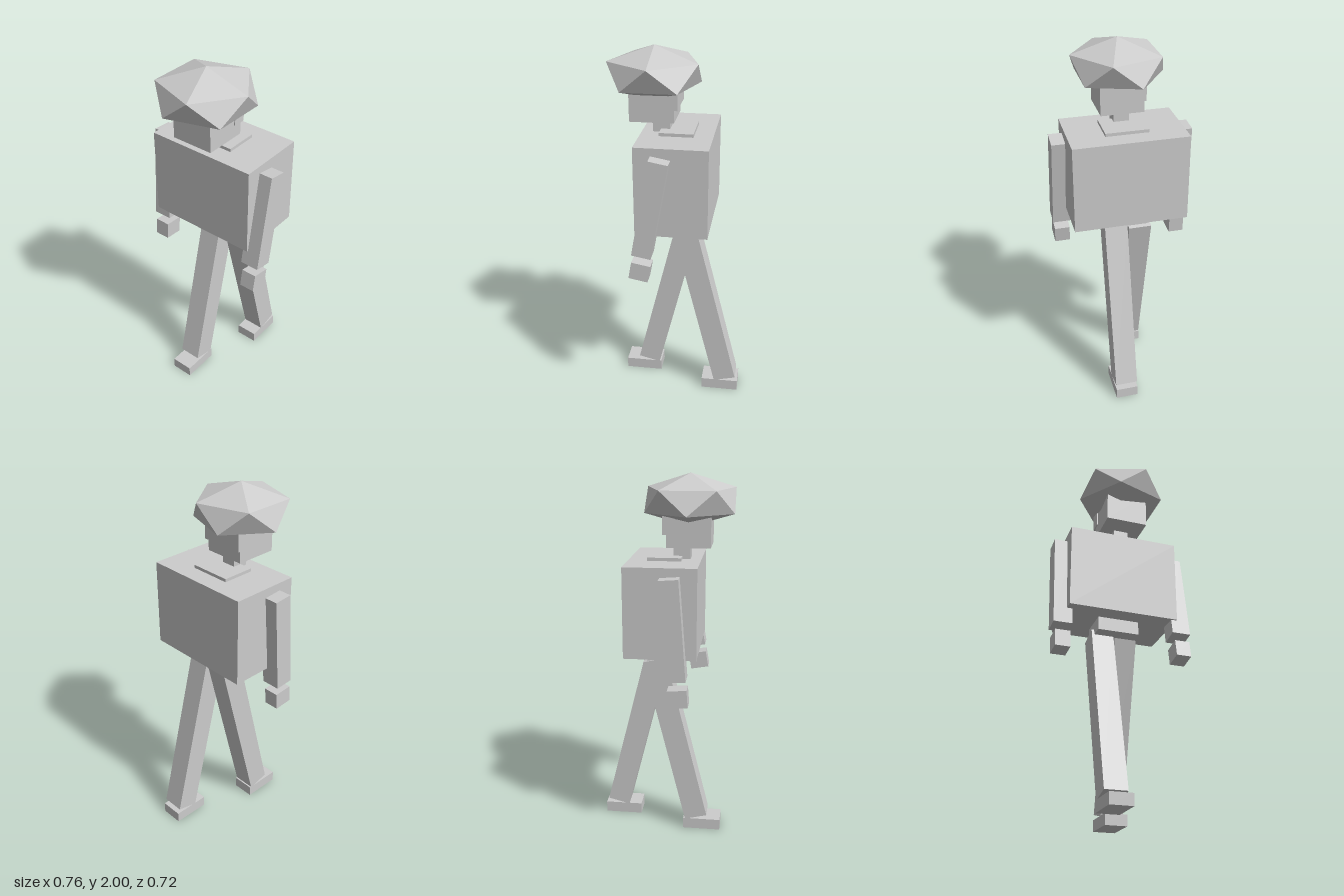
import * as THREE from 'three';
import { ConvexGeometry } from 'three/addons/geometries/ConvexGeometry.js';

export function createModel() {
  const model = new THREE.Group();
  model.name = 'walkingFigure';
  const grey = new THREE.MeshStandardMaterial({ color: 0xcccccc });
  grey.name = 'light grey';

  // Box by size and centre, tilted about x
  function box(name, size, centre, tilt = 0) {
    const mesh = new THREE.Mesh(new THREE.BoxGeometry(...size), grey);
    mesh.name = name;
    mesh.position.set(...centre);
    mesh.rotation.x = tilt;
    model.add(mesh);
  }

  // Body core shows as collar above and pelvis below the coat
  box('bodyCore', [0.232, 0.572, 0.18], [0, 1.288, 0]);
  box('coat', [0.616, 0.48, 0.382], [0, 1.317, 0]);
  box('neck', [0.082, 0.12, 0.09], [0, 1.6, 0.087]);
  box('head', [0.232, 0.2, 0.233], [0, 1.727, 0.127]);
  box('hair', [0.244, 0.14, 0.068], [0, 1.765, 0.026]);

  // Cap: squashed twenty-sided solid with a vertex on top
  const points = [new THREE.Vector3(0, 0.138, 0), new THREE.Vector3(0, -0.138, 0)];
  for (let i = 0; i < 10; i++) {
    const a = (i * Math.PI) / 5;
    points.push(new THREE.Vector3(0.247 * Math.cos(a), i % 2 ? -0.062 : 0.062, 0.247 * Math.sin(a)));
  }
  const cap = new THREE.Mesh(new ConvexGeometry(points), grey);
  cap.name = 'cap';
  cap.position.set(0, 1.862, 0.127);
  model.add(cap);

  // Limbs in mid stride
  const sides = [
    { name: 'left', s: 1, armZ: 0.098, armTilt: -0.18, hand: [0.891, 0.157], legZ: -0.17, legTilt: 0.245, footZ: -0.258 },
    { name: 'right', s: -1, armZ: 0.072, armTilt: -0.075, hand: [0.886, 0.1], legZ: 0.067, legTilt: -0.245, footZ: 0.218 },
  ];
  for (const p of sides) {
    box(p.name + 'Arm', [0.104, 0.531, 0.103], [p.s * 0.329, 1.246, p.armZ], p.armTilt);
    box(p.name + 'Hand', [0.084, 0.095, 0.103], [p.s * 0.33, ...p.hand], p.armTilt);
    box(p.name + 'Leg', [0.125, 0.973, 0.127], [p.s * 0.068, 0.545, p.legZ], p.legTilt);
    box(p.name + 'Foot', [0.125, 0.062, 0.21], [p.s * 0.068, 0.031, p.footZ]);
  }
  return model;
}
